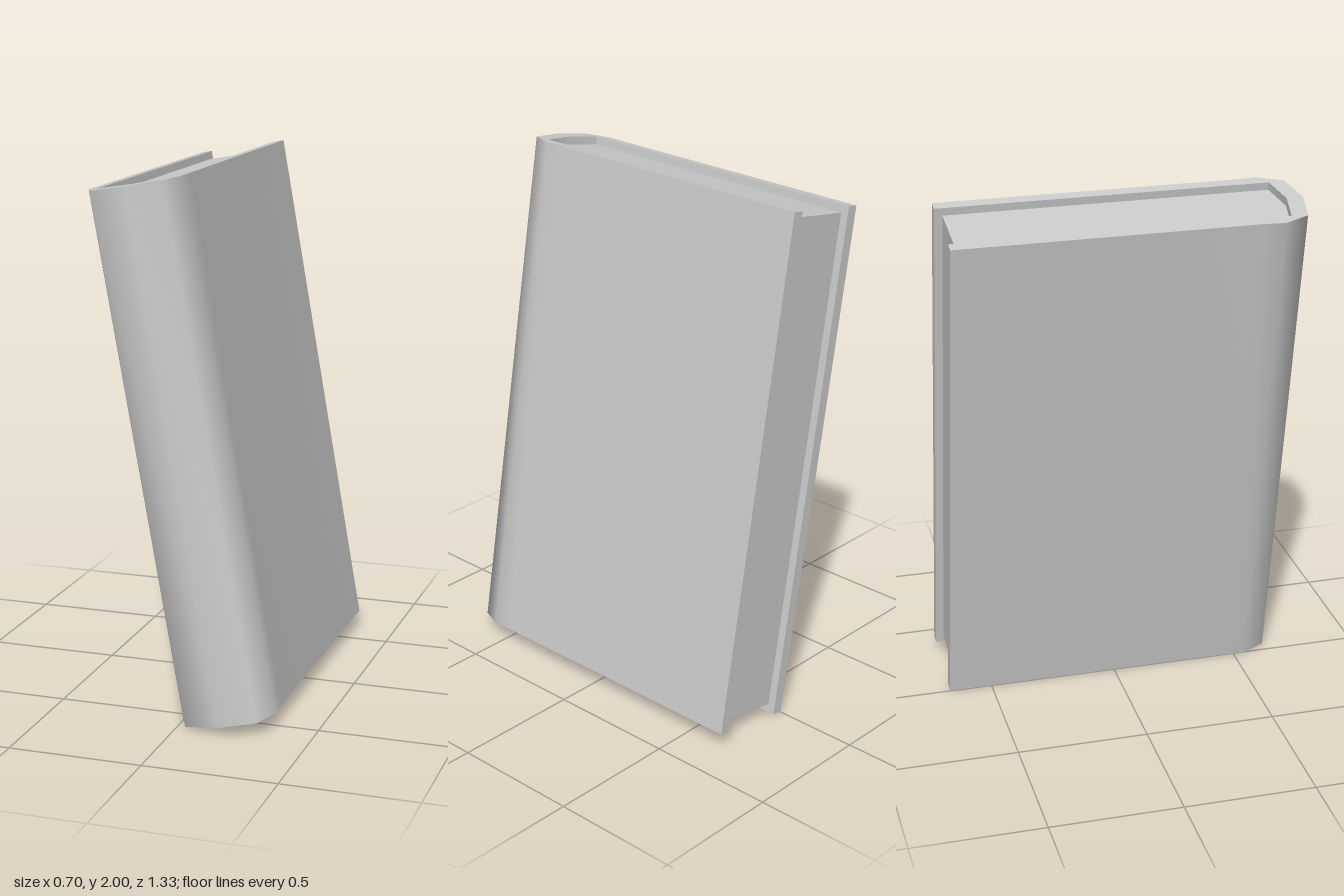
import * as THREE from 'three';
import { toCreasedNormals } from 'three/addons/utils/BufferGeometryUtils.js';

const HEIGHT = 1.97;   // along the spine
const TILT = 0.1745;   // sideways lean of the closed book
const BACK = -0.666;
const RECESS = 0.03;   // how far the pages sit inside the cover
const material = new THREE.MeshStandardMaterial({ color: 0xcccccc });

// Extrudes a floor outline of [x, z] points upwards, centred on its height
function upright(name, outline, height) {
  const shape = new THREE.Shape(outline.map(([x, z]) => new THREE.Vector2(x, -z)));
  const flat = new THREE.ExtrudeGeometry(shape, { depth: height, bevelEnabled: false });
  flat.rotateX(-Math.PI / 2).translate(0, -height / 2, 0);
  const mesh = new THREE.Mesh(toCreasedNormals(flat, 1.1), material);
  mesh.name = name;
  return mesh;
}

// Completes a right half profile that ends on the centre line
function mirrored(half) {
  return [...half, ...half.slice(0, -1).reverse().map(([x, z]) => [-x, z])];
}

export function createModel() {
  const model = new THREE.Group();
  model.name = 'leaningBook';

  // Both boards and the rounded spine as one U-shaped section
  const outer = mirrored([[0.175, BACK], [0.175, 0.46], [0.18, 0.54], [0.138, 0.635], [0, 0.663]]);
  const inner = mirrored([[0.132, BACK], [0.132, 0.575], [0, 0.6]]);
  model.add(upright('cover', [...outer, ...inner.reverse()], HEIGHT));

  // Page block, set in at the top, bottom and back
  const pages = mirrored([[0.132, BACK + RECESS], [0.132, 0.575], [0, 0.6]]);
  model.add(upright('pages', pages, HEIGHT - 2 * RECESS));

  model.rotation.z = TILT;
  model.position.y = 1;
  const root = new THREE.Group();
  root.name = 'book';
  root.add(model);
  return root;
}
